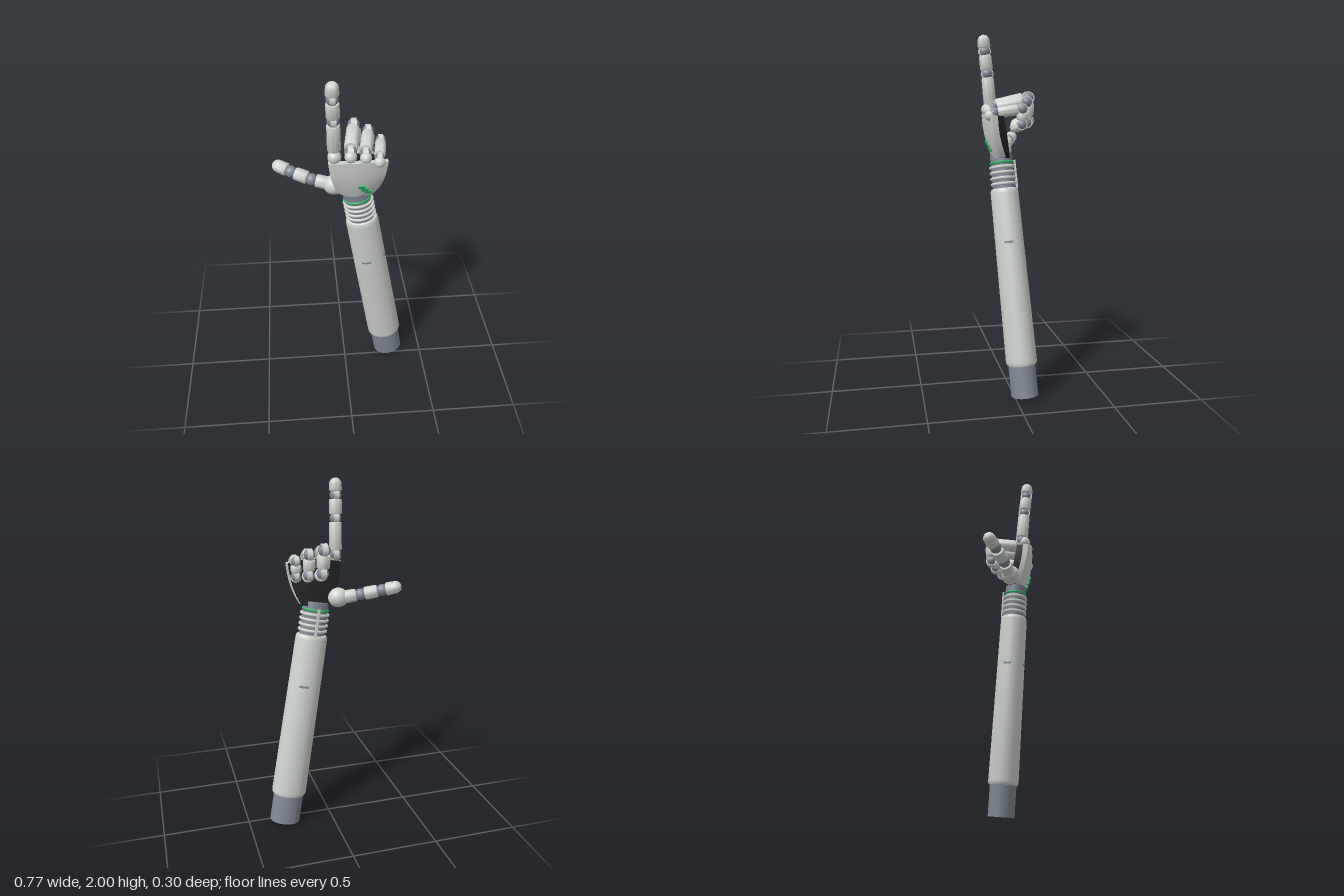
import * as THREE from 'three';
import { toCreasedNormals } from 'three/addons/utils/BufferGeometryUtils.js';

const V = (x, y, z) => new THREE.Vector3(x, y, z);
const lerp = THREE.MathUtils.lerp;
const UP = V(0, 1, 0);

function paint(name, hex) {
  const m = new THREE.MeshStandardMaterial({ color: hex });
  m.name = name;
  return m;
}

export function createModel() {
  const shell = paint('shell grey', 0xced2ce);
  const slate = paint('joint slate', 0x7f8894);
  const black = paint('palm black', 0x1f1f20);
  const green = paint('accent green', 0x2fb268);

  const root = new THREE.Group();
  root.name = 'roboticArm';

  function add(parent, name, geometry, material, pos) {
    const mesh = new THREE.Mesh(geometry, material);
    mesh.name = name;
    if (pos) mesh.position.copy(pos);
    parent.add(mesh);
    return mesh;
  }
  const lathe = (pts, n = 32) => toCreasedNormals(
    new THREE.LatheGeometry(pts.map(([r, y]) => new THREE.Vector2(r, y)), n), 0.6);

  // Tapered tube with softly rounded rims, or a domed end for fingertips
  function segment(parent, name, a, b, r0, r1, domed) {
    const len = a.distanceTo(b), c = 0.006;
    const pts = [[0, 0], [r0 - c, 0], [r0 - c * 0.3, c * 0.3], [r0, c]];
    if (domed) {
      for (let i = 0; i <= 8; i++) {
        const t = (i / 8) * Math.PI / 2;
        pts.push([r1 * Math.cos(t), len - r1 + r1 * Math.sin(t)]);
      }
    } else {
      pts.push([r1, len - c], [r1 - c * 0.3, len - c * 0.3], [r1 - c, len], [0, len]);
    }
    const mesh = add(parent, name, lathe(pts, 24), shell, a);
    mesh.quaternion.setFromUnitVectors(UP, b.clone().sub(a).normalize());
    return mesh;
  }

  // ---- Forearm: oval section, leaning on its own axis ----
  const arm = new THREE.Group();
  arm.name = 'forearm';
  arm.position.set(0.29, 0.02, -0.053);
  arm.quaternion.setFromUnitVectors(UP, V(-0.1975, 1.115, 0.077).normalize());
  arm.scale.z = 0.84;
  root.add(arm);

  add(arm, 'elbowStub', lathe([[0, 0], [0.089, 0], [0.089, 0.2], [0, 0.2]], 40), slate);
  add(arm, 'forearmSleeve', lathe([
    [0, 0.17], [0.088, 0.17], [0.096, 0.174], [0.101, 0.183], [0.102, 0.195],
    [0.0915, 1.125], [0.09, 1.138], [0.085, 1.148], [0.076, 1.152], [0, 1.152],
  ], 40), shell);
  for (let i = 0; i < 4; i++) {
    add(arm, 'sleeveSlot', new THREE.CylinderGeometry(0.0952, 0.0956, 0.012, 6, 1, true,
      -0.55 + i * Math.PI / 2, 0.6), slate, V(0, 0.855, 0));
  }

  // Ribbed wrist
  add(arm, 'wristCore', lathe([[0, 1.12], [0.074, 1.12], [0.072, 1.34], [0, 1.34]]), slate);
  for (let i = 0; i < 4; i++) {
    const ring = add(arm, 'wristRing', new THREE.TorusGeometry(0.077, 0.009, 8, 40), shell,
      V(0, 1.176 + i * 0.031, 0));
    ring.rotation.x = Math.PI / 2;
  }
  const band = add(arm, 'wristBand', new THREE.TorusGeometry(0.072, 0.007, 8, 40), green, V(0, 1.294, 0));
  band.rotation.x = Math.PI / 2;
  add(arm, 'wristTendon', new THREE.BoxGeometry(0.014, 0.16, 0.012), shell, V(0, 1.225, -0.088));

  // ---- Hand: blocks bent into a flared, bowed shape ----
  const hand = new THREE.Group();
  hand.name = 'hand';
  root.add(hand);

  const backZ = (u, v) => lerp(0.086, 0.14, v) + 0.012 * Math.sin(Math.PI * v) - 0.028 * u * u;
  function handBlock(name, material, width, front, back) {
    const g = new THREE.BoxGeometry(1, 1, 1, 14, 10, 1);
    const p = g.attributes.position;
    for (let i = 0; i < p.count; i++) {
      const u = p.getX(i) * 2, v = p.getY(i) + 0.5, w = p.getZ(i) + 0.5;
      const half = width * (lerp(0.107, 0.156, v) + 0.008 * Math.sin(Math.PI * v))
        * (1 - 0.1 * Math.pow(1 - v, 6));
      p.setXYZ(i, 0.06 + u * half,
        lerp(1.315, 1.562, v) + 0.014 * u * u * (1 - v) - 0.012 * u * u * v,
        lerp(back(u, v), front(u, v), w));
    }
    add(hand, name, toCreasedNormals(g, 0.6), material);
  }
  handBlock('handBackPlate', shell, 1, backZ, (u, v) => backZ(u, v) - 0.03);
  handBlock('palm', black, 0.94, (u, v) => backZ(u, v) - 0.02,
    (u, v) => lerp(-0.005, 0.038, v) + 0.01 * u * u);

  // Stepped accent on the back of the hand
  for (let i = 0; i < 3; i++) {
    const x = 0.079 + i * 0.017, y = 1.405 - i * 0.02;
    const step = add(hand, 'accentStep', new THREE.BoxGeometry(0.036, 0.021, 0.009), green,
      V(x, y, backZ((x - 0.06) / 0.12, (y - 1.315) / 0.247) + 0.006));
    step.rotation.x = 0.36;
  }

  // ---- Digits: joints at each point, shells between, last point is the tip ----
  function digit(name, pts, r, gap, hinged) {
    const group = new THREE.Group();
    group.name = name;
    hand.add(group);
    const last = pts.length - 2;
    for (let i = 0; i <= last; i++) {
      const a = pts[i], b = pts[i + 1];
      const dir = b.clone().sub(a).normalize();
      add(group, 'joint', new THREE.SphereGeometry(r * 0.9, 20, 14), slate, a);
      if (hinged) {
        const cap = add(group, 'jointCap',
          new THREE.CylinderGeometry(r * 0.96, r * 0.96, r * 0.8, 24), shell, a);
        cap.rotation.z = Math.PI / 2;
      }
      segment(group, i === last ? 'fingertip' : 'phalanx',
        a.clone().addScaledVector(dir, gap),
        i === last ? b : b.clone().addScaledVector(dir, -gap),
        r, i === last ? r * 0.94 : r * 0.97, i === last);
    }
  }

  digit('indexFinger', [V(-0.063, 1.59, 0.075), V(-0.068, 1.785, 0.092),
    V(-0.072, 1.908, 0.106), V(-0.073, 2.0, 0.113)], 0.036, 0.021, true);
  digit('middleFinger', [V(0.02, 1.6, 0.085), V(0.055, 1.65, -0.115),
    V(0.062, 1.525, -0.11), V(0.055, 1.49, -0.02)], 0.037, 0.028, true);
  digit('ringFinger', [V(0.097, 1.592, 0.09), V(0.13, 1.625, -0.092),
    V(0.133, 1.515, -0.088), V(0.122, 1.485, -0.01)], 0.034, 0.026, true);
  digit('littleFinger', [V(0.17, 1.565, 0.095), V(0.194, 1.587, -0.055),
    V(0.194, 1.505, -0.052), V(0.182, 1.48, 0.01)], 0.03, 0.023, true);
  digit('thumb', [V(-0.06, 1.355, 0.005), V(-0.18, 1.375, -0.027),
    V(-0.29, 1.402, -0.072), V(-0.387, 1.43, -0.12)], 0.037, 0.024, false);

  // Rounded knuckle covers and thumb root
  [[-0.063, 1.578, 0.09, 0.036], [0.02, 1.585, 0.108, 0.033],
    [0.098, 1.578, 0.112, 0.031], [0.168, 1.552, 0.116, 0.029]].forEach(([x, y, z, r]) =>
    add(hand, 'knuckle', new THREE.SphereGeometry(r, 20, 14), shell, V(x, y, z)));
  const root1 = add(hand, 'thumbRoot', new THREE.SphereGeometry(0.054, 24, 16), shell, V(-0.06, 1.357, 0.008));
  root1.scale.set(1.1, 1.02, 1);

  return root;
}
